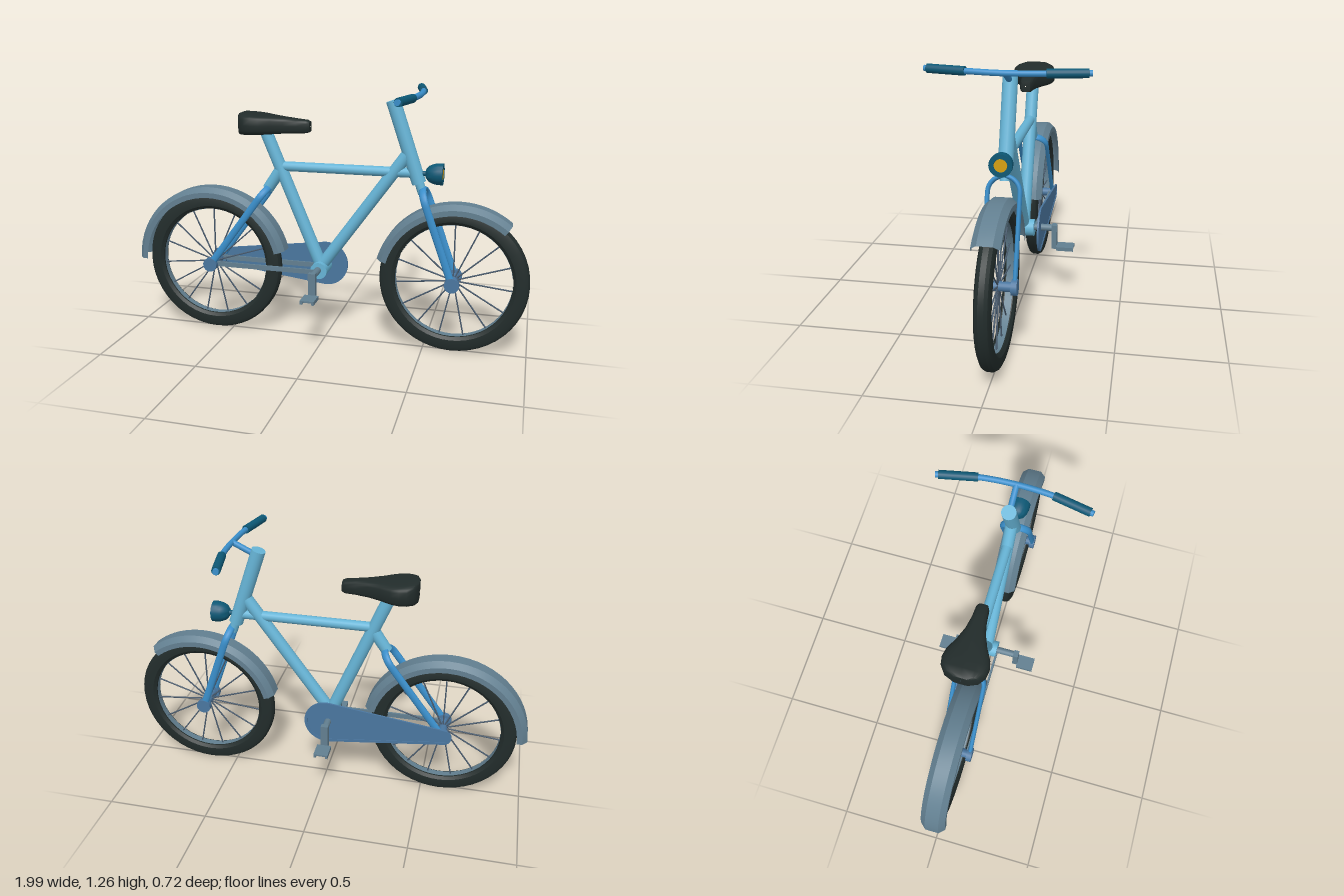
import * as THREE from 'three';
import { toCreasedNormals } from 'three/addons/utils/BufferGeometryUtils.js';

const V = (x, y, z = 0) => new THREE.Vector3(x, y, z);
const mat = (name, color, side = THREE.FrontSide) => {
  const m = new THREE.MeshStandardMaterial({ color, side });
  m.name = name;
  return m;
};

export function createModel() {
  const bike = new THREE.Group();
  bike.name = 'bicycle';
  const frameBlue = mat('light blue', 0x66b4d6);
  const forkBlue = mat('mid blue', 0x3a8fcb);
  const teal = mat('dark teal', 0x0d5875);
  const slate = mat('slate grey', 0x627f90, THREE.DoubleSide);
  const steel = mat('steel blue', 0x4a769f);
  const spokeGrey = mat('spoke grey', 0x4b5d70);
  const rubber = mat('black rubber', 0x222c2b);
  const amber = mat('amber', 0xd6a011);

  const add = (name, geo, material, parent = bike) => {
    const mesh = new THREE.Mesh(geo, material);
    mesh.name = name;
    parent.add(mesh);
    return mesh;
  };
  // straight round bar between two points
  const rod = (name, a, b, r, material, parent = bike, sides = 18, r2 = r) => {
    const mesh = add(name, new THREE.CylinderGeometry(r2, r, a.distanceTo(b), sides), material, parent);
    mesh.position.copy(a).lerp(b, 0.5);
    mesh.quaternion.setFromUnitVectors(V(0, 1), b.clone().sub(a).normalize());
    return mesh;
  };
  const box = (name, w, h, d, x, y, z, material, parent = bike) =>
    add(name, new THREE.BoxGeometry(w, h, d), material, parent).position.set(x, y, z);
  // profile of [radius, offset] pairs turned about the z axis
  const ring = (profile, segs, start = 0, length = Math.PI * 2) => toCreasedNormals(
    new THREE.LatheGeometry(profile.map(([r, o]) => new THREE.Vector2(r, o)), segs, start, length)
      .rotateX(Math.PI / 2), 0.5);

  // wheels
  const HUB_Y = 0.364, REAR_X = -0.59, FRONT_X = 0.637;
  const tyreProfile = [[0.283, -0.022], [0.298, -0.033], [0.335, -0.034], [0.351, -0.026], [0.359, -0.012],
    [0.359, 0.012], [0.351, 0.026], [0.335, 0.034], [0.298, 0.033], [0.283, 0.022], [0.283, -0.022]];
  for (const [name, x] of [['rearWheel', REAR_X], ['frontWheel', FRONT_X]]) {
    const wheel = new THREE.Group();
    wheel.name = name;
    wheel.position.set(x, HUB_Y, 0);
    bike.add(wheel);
    add('tyre', ring(tyreProfile, 48), rubber, wheel);
    add('rim', ring([[0.281, -0.017], [0.281, 0.017]], 48), slate, wheel);
    rod('hub', V(0, 0, -0.06), V(0, 0, 0.06), 0.022, steel, wheel);
    for (const s of [-1, 1]) rod('axleCap', V(0, 0, s * 0.058), V(0, 0, s * 0.084), 0.036, steel, wheel);
    for (let i = 0; i < 15; i++) {
      const a = Math.PI / 2 + i / 15 * Math.PI * 2, c = Math.cos(a), s = Math.sin(a);
      rod('spoke', V(c * 0.015, s * 0.015), V(c * 0.285, s * 0.285), 0.0038, spokeGrey, wheel, 6);
    }
  }

  // mudguards, faceted channel section
  const fender = (name, x, y, r, from, to) => {
    const profile = [[r - 0.05, -0.06], [r - 0.024, -0.06], [r, -0.033], [r, 0.033], [r - 0.024, 0.06], [r - 0.05, 0.06]];
    const rad = THREE.MathUtils.degToRad;
    add(name, ring(profile, 28, rad(from + 90), rad(to - from)), slate).position.set(x, y, 0);
  };
  fender('rearMudguard', -0.595, 0.356, 0.404, 14, 179);
  fender('frontMudguard', 0.65, 0.352, 0.397, 51, 165);

  // frame tubes
  const bracket = V(-0.022, 0.372);
  rod('seatTube', V(-0.018, 0.375), V(-0.305, 1.06), 0.031, frameBlue);
  rod('topTube', V(-0.225, 0.882), V(0.42, 0.882), 0.024, frameBlue);
  rod('downTube', V(-0.02, 0.385), V(0.4, 0.97), 0.03, frameBlue);
  rod('headTube', V(0.457, 0.835), V(0.325, 1.22), 0.034, frameBlue);
  rod('steerer', V(0.476, 0.785), V(0.45, 0.86), 0.022, frameBlue);
  rod('stayLug', V(-0.295, 0.765), V(-0.22, 0.875), 0.028, frameBlue, bike, 18, 0.03);
  rod('bottomBracket', V(bracket.x, bracket.y, -0.055), V(bracket.x, bracket.y, 0.055), 0.042, frameBlue);

  // fork and rear stays: flattened U-shaped tubes
  const uTube = (name, hubX, topX, topY) => {
    const W = 0.071, dx = topX - hubX, dy = topY - HUB_Y, len = Math.hypot(dx, dy);
    const path = new THREE.CurvePath();
    const arc = [];
    for (let i = 0; i <= 12; i++) {
      const a = i / 12 * Math.PI;
      arc.push(V(0, len - W + W * Math.sin(a), W * Math.cos(a)));
    }
    path.add(new THREE.LineCurve3(V(0, -0.02, W), arc[0]));
    path.add(new THREE.CatmullRomCurve3(arc));
    path.add(new THREE.LineCurve3(arc[12], V(0, -0.02, -W)));
    const mesh = add(name, new THREE.TubeGeometry(path, 90, 0.0105, 10).scale(1.75, 1, 1), forkBlue);
    mesh.position.set(hubX, HUB_Y, 0);
    mesh.rotation.z = Math.atan2(-dx, dy);
  };
  uTube('fork', FRONT_X, 0.477, 0.808);
  uTube('seatStays', REAR_X, -0.285, 0.775);
  for (const z of [-0.056, 0.056])
    box('chainStay', 0.56, 0.024, 0.01, -0.31, 0.366, z, slate);

  // chain guard: tapered plate with a raised border
  const guardShape = (inset) => {
    const bigR = 0.113 - inset, smallR = 0.04 - inset, big = -0.018, small = -0.6;
    const t = Math.acos((0.113 - 0.04) / (big - small));
    const s = new THREE.Shape();
    s.absarc(big, 0.369, bigR, -Math.PI + t, Math.PI - t, false);
    s.absarc(small, 0.366, smallR, Math.PI - t, Math.PI + t, false);
    s.closePath();
    return s;
  };
  const extrude = (shape, depth) =>
    new THREE.ExtrudeGeometry(shape, { depth, bevelEnabled: false, curveSegments: 24 });
  add('chainGuard', extrude(guardShape(0), 0.006), steel).position.z = -0.089;
  const border = guardShape(0);
  border.holes.push(guardShape(0.014));
  add('chainGuardBorder', extrude(border, 0.004), steel).position.z = -0.092;

  // cranks and pedals
  rod('crankAxle', V(-0.025, 0.376, -0.16), V(-0.025, 0.376, 0.16), 0.017, slate);
  for (const s of [-1, 1]) {
    box('crankArm', 0.036, 0.122, 0.026, -0.025, 0.333, s * 0.157, slate);
    box('pedalAxle', 0.036, 0.014, 0.09, -0.025, 0.276, s * 0.189, slate);
    box('pedalPlate', 0.07, 0.008, 0.086, -0.025, 0.282, s * 0.212, slate);
    for (const dx of [-0.029, 0.029])
      box('pedalSide', 0.012, 0.014, 0.086, -0.025 + dx, 0.274, s * 0.212, slate);
  }

  // saddle: rounded cross-sections of [x, half width, bottom, top]
  const sections = [[-0.43, 0.002, 1.08, 1.1], [-0.43, 0.04, 1.04, 1.138], [-0.415, 0.078, 1.036, 1.144],
    [-0.385, 0.1, 1.036, 1.142], [-0.35, 0.106, 1.037, 1.139], [-0.31, 0.097, 1.039, 1.135],
    [-0.26, 0.07, 1.042, 1.13], [-0.2, 0.046, 1.046, 1.124], [-0.14, 0.034, 1.049, 1.118],
    [-0.09, 0.03, 1.051, 1.113], [-0.075, 0.022, 1.056, 1.107], [-0.073, 0.002, 1.08, 1.085]];
  const N = 24, pos = [], idx = [];
  const soft = (v) => Math.sign(v) * Math.abs(v) ** 0.5;
  sections.forEach(([x, w, lo, hi], i) => {
    for (let j = 0; j < N; j++) {
      const a = j / N * Math.PI * 2;
      pos.push(x, (lo + hi) / 2 + soft(Math.cos(a)) * (hi - lo) / 2, soft(Math.sin(a)) * w);
      if (i === sections.length - 1) continue;
      const p = i * N + j, q = i * N + (j + 1) % N;
      idx.push(p, q, p + N, q, q + N, p + N);
    }
  });
  const saddle = new THREE.BufferGeometry();
  saddle.setAttribute('position', new THREE.Float32BufferAttribute(pos, 3));
  saddle.setIndex(idx);
  saddle.computeVertexNormals();
  add('saddle', toCreasedNormals(saddle, 0.8), rubber);

  // handlebar, stem and grips
  rod('stem', V(0.34, 1.195), V(0.45, 1.248), 0.014, forkBlue);
  const bar = new THREE.CatmullRomCurve3([V(0.404, 1.25, -0.358), V(0.424, 1.25, -0.26), V(0.442, 1.25, -0.17),
    V(0.453, 1.248, 0), V(0.442, 1.25, 0.17), V(0.424, 1.25, 0.26), V(0.404, 1.25, 0.358)]);
  add('handlebar', new THREE.TubeGeometry(bar, 32, 0.0135, 12), forkBlue);
  for (const s of [-1, 1]) {
    rod('grip', V(0.442, 1.25, s * 0.172), V(0.407, 1.25, s * 0.345), 0.02, teal);
    rod('gripEnd', V(0.407, 1.25, s * 0.344), V(0.404, 1.25, s * 0.359), 0.0135, forkBlue);
  }

  // headlamp: bowl opening forward with an amber lens
  const bowl = [[0, 0], [0.022, 0.004], [0.038, 0.018], [0.047, 0.038], [0.051, 0.06], [0.051, 0.084],
    [0.03, 0.084], [0.028, 0.076], [0, 0.076]].map(([r, y]) => new THREE.Vector2(r, y));
  const lamp = new THREE.Group();
  lamp.name = 'headlamp';
  lamp.position.set(0.486, 0.882, 0);
  lamp.rotation.z = -Math.PI / 2;
  bike.add(lamp);
  add('lampBowl', toCreasedNormals(new THREE.LatheGeometry(bowl, 28), 0.6), teal, lamp);
  add('lampLens', new THREE.CylinderGeometry(0.0285, 0.0285, 0.005, 28), amber, lamp).position.y = 0.08;
  rod('lampBracket', V(0.44, 0.882), V(0.5, 0.882), 0.012, teal);

  return bike;
}
